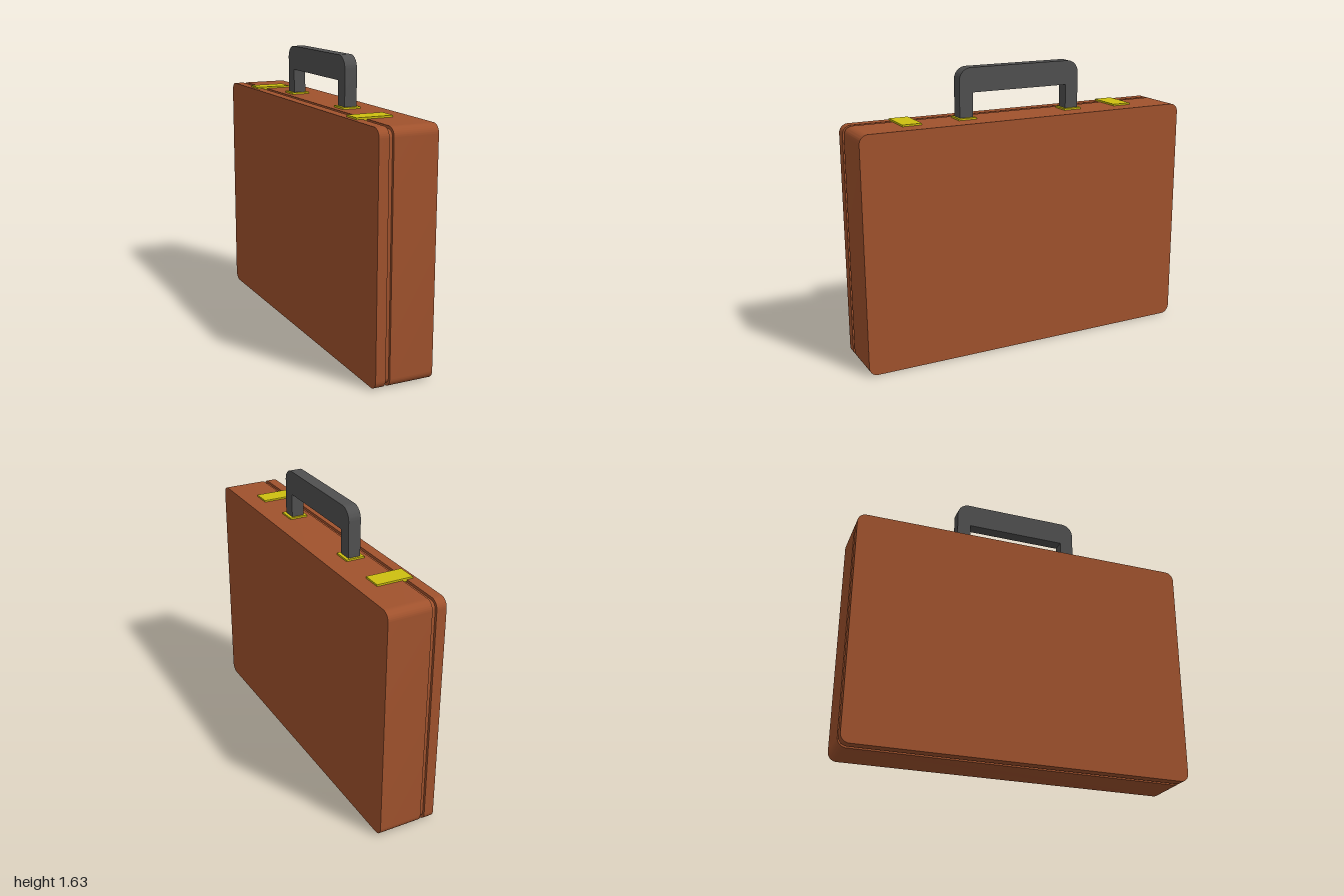
import * as THREE from 'three';
import { toCreasedNormals } from 'three/addons/utils/BufferGeometryUtils.js';

const leather = new THREE.MeshStandardMaterial({ color: 0xa0522d });
const brass = new THREE.MeshStandardMaterial({ color: 0xcdbf10 });
const grip = new THREE.MeshStandardMaterial({ color: 0x505050 });

// Rounded rectangle in the z-y plane
function roundedRect(halfW, y0, y1, r) {
  const s = new THREE.Shape();
  s.absarc(halfW - r, y0 + r, r, -Math.PI / 2, 0);
  s.absarc(halfW - r, y1 - r, r, 0, Math.PI / 2);
  s.absarc(-halfW + r, y1 - r, r, Math.PI / 2, Math.PI);
  s.absarc(-halfW + r, y0 + r, r, Math.PI, Math.PI * 1.5);
  s.closePath();
  return s;
}

// Extrude a z-y shape along x, from x0 to x1
function slab(name, shape, x0, x1, material) {
  const geo = new THREE.ExtrudeGeometry(shape, { depth: x1 - x0, bevelEnabled: false, curveSegments: 8 });
  geo.rotateY(Math.PI / 2).translate(x0, 0, 0);
  const mesh = new THREE.Mesh(toCreasedNormals(geo, Math.PI / 6), material);
  mesh.name = name;
  return mesh;
}

function plate(name, x0, x1, z, depth) {
  const mesh = new THREE.Mesh(new THREE.BoxGeometry(x1 - x0, 0.02, depth), brass);
  mesh.position.set((x0 + x1) / 2, 1.35, z);
  mesh.name = name;
  return mesh;
}

export function createModel() {
  const group = new THREE.Group();
  group.name = 'briefcase';

  // Lid and base shells, separated by a recessed seam
  const shell = roundedRect(1, 0, 1.35, 0.05);
  group.add(slab('lid', shell, -0.167, -0.11, leather));
  group.add(slab('base', shell, -0.085, 0.167, leather));
  group.add(slab('seam', roundedRect(0.985, 0.015, 1.335, 0.04), -0.11, -0.085, leather));

  // Handle: an arch with rounded outer corners and square inner ones
  const arch = new THREE.Shape();
  const r = 0.07;
  arch.moveTo(-0.295, 1.35);
  arch.lineTo(-0.295, 1.497);
  arch.lineTo(0.295, 1.497);
  arch.lineTo(0.295, 1.35);
  arch.lineTo(0.375, 1.35);
  arch.absarc(0.375 - r, 1.635 - r, r, 0, Math.PI / 2);
  arch.absarc(-0.375 + r, 1.635 - r, r, Math.PI / 2, Math.PI);
  arch.lineTo(-0.375, 1.35);
  group.add(slab('handle', arch, -0.036, 0.036, grip));

  // Latches and handle mounts, mirrored front to back
  for (const side of [1, -1]) {
    group.add(plate('latch', -0.145, 0.065, side * 0.667, 0.112));
    group.add(plate('handleMount', -0.054, 0.054, side * 0.335, 0.108));
  }
  return group;
}
